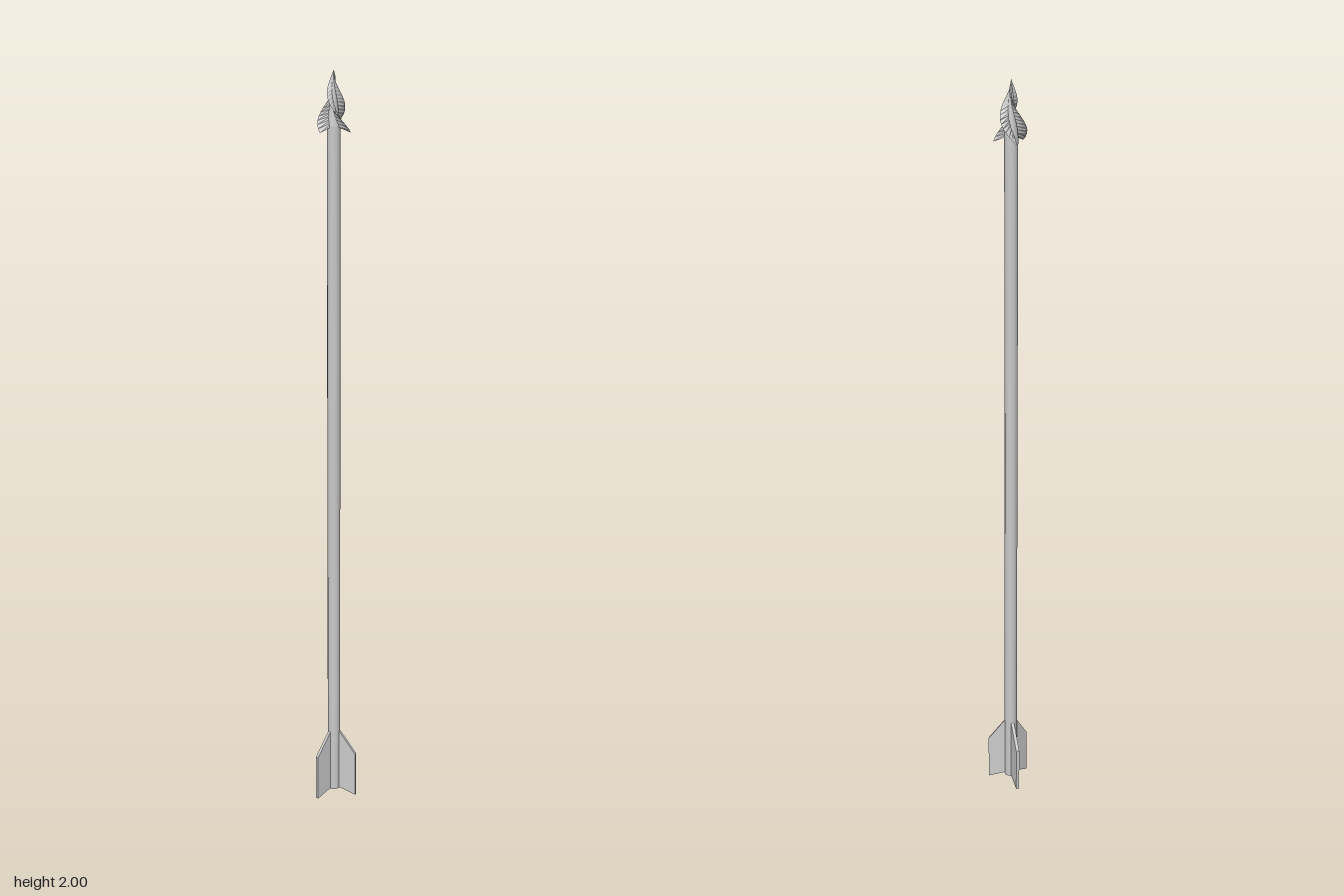
import * as THREE from 'three';

const grey = new THREE.MeshStandardMaterial({ color: 0xcccccc });
const faceted = new THREE.MeshStandardMaterial({ color: 0xcccccc, flatShading: true, side: THREE.DoubleSide });
const START = THREE.MathUtils.degToRad(10);

function add(group, name, geometry, material) {
  const mesh = new THREE.Mesh(geometry, material);
  mesh.name = name;
  group.add(mesh);
  return mesh;
}

// Flat vane with a swept top and a bottom edge that drops outwards
function finGeometry() {
  const shape = new THREE.Shape([
    [0.01, 0.02], [0.064, 0], [0.064, 0.125], [0.017, 0.19], [0.01, 0.19],
  ].map(([x, y]) => new THREE.Vector2(x, y)));
  const geo = new THREE.ExtrudeGeometry(shape, { depth: 0.009, bevelEnabled: false });
  return geo.translate(0, 0, -0.0045);
}

// Wedge-section blade that winds around the axis while narrowing to the point
function bladeGeometry() {
  const steps = 16, twist = THREE.MathUtils.degToRad(200);
  const pos = [], index = [];
  for (let i = 0; i <= steps; i++) {
    const t = i / steps, a = t * twist;
    const r = 0.046 * (1 - Math.pow(t, 1.3));
    const c = Math.cos(a), s = Math.sin(a);
    const half = 0.005 * (1 - t), inner = 0.008 * (1 - t);
    const section = [[inner, -half, 1.86], [r, 0, 1.845], [inner, half, 1.86]];
    for (const [u, v, base] of section) {
      pos.push(u * c - v * s, base + (2 - base) * t, u * s + v * c);
    }
  }
  for (let i = 0; i < steps; i++) {
    for (let k = 0; k < 3; k++) {
      const a = i * 3 + k, b = i * 3 + (k + 1) % 3;
      index.push(a, a + 3, b, b, a + 3, b + 3);
    }
  }
  index.push(0, 1, 2);
  const geo = new THREE.BufferGeometry();
  geo.setAttribute('position', new THREE.Float32BufferAttribute(pos, 3));
  geo.setIndex(index);
  geo.computeVertexNormals();
  return geo;
}

export function createModel() {
  const arrow = new THREE.Group();
  arrow.name = 'arrow';

  // Shaft
  const shaft = new THREE.CylinderGeometry(0.0175, 0.0175, 1.845, 12);
  add(arrow, 'shaft', shaft, grey).position.y = 0.015 + 1.845 / 2;

  // Conical core of the head
  const core = new THREE.ConeGeometry(0.0175, 0.14, 12);
  add(arrow, 'headCore', core, grey).position.y = 1.93;

  // Three fins and three twisted head blades
  const fin = finGeometry(), blade = bladeGeometry();
  for (let i = 0; i < 3; i++) {
    const angle = -(START + i * Math.PI * 2 / 3);
    add(arrow, 'fin', fin, faceted).rotation.y = angle;
    add(arrow, 'headBlade', blade, faceted).rotation.y = angle;
  }

  // The fins' uneven reach sets the axis slightly off centre
  arrow.position.set(-0.01, 0, 0.003);
  const model = new THREE.Group();
  model.add(arrow);
  return model;
}
